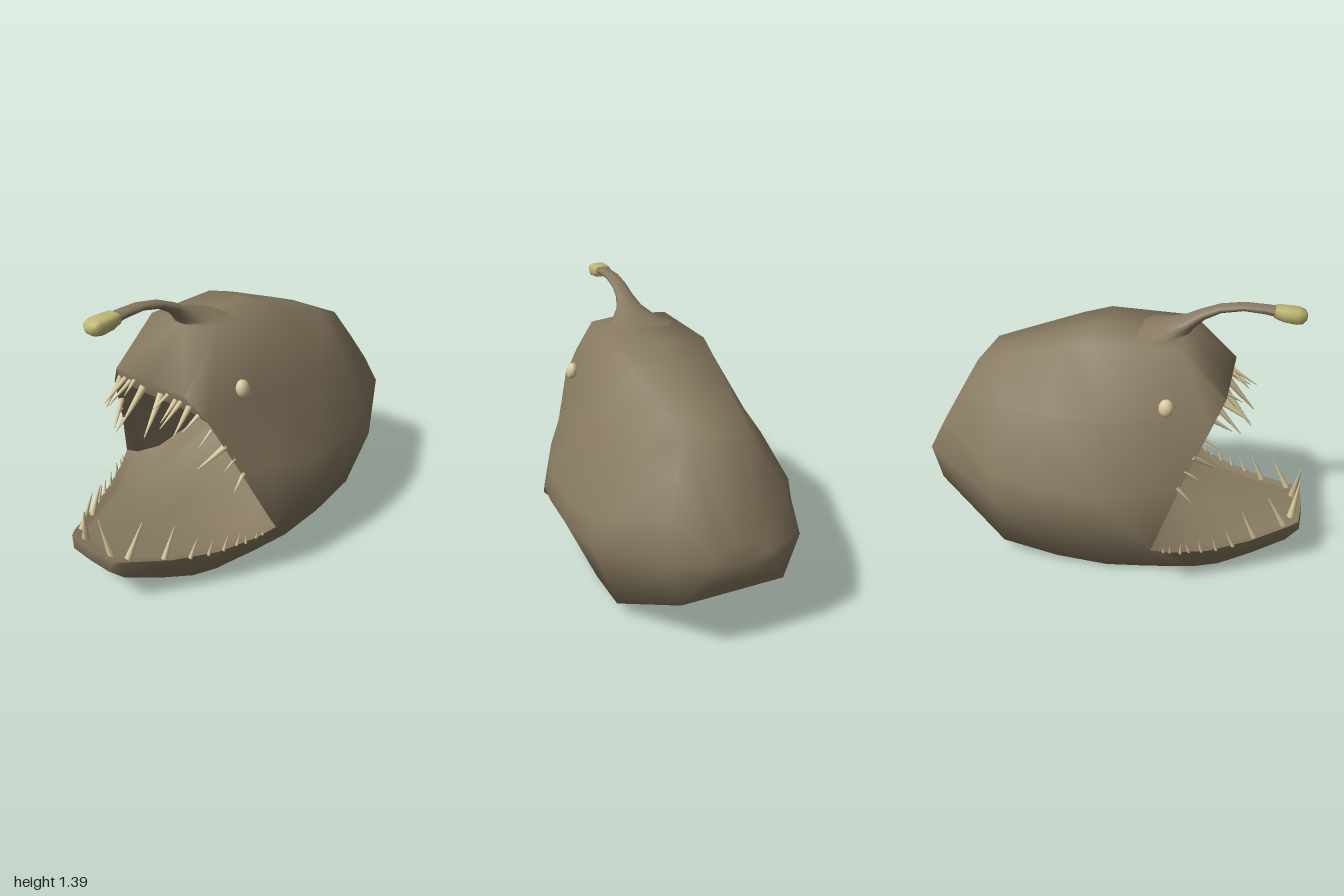
import * as THREE from 'three';
import { toCreasedNormals } from 'three/addons/utils/BufferGeometryUtils.js';

const mat = (name, color, side = THREE.FrontSide) => {
  const m = new THREE.MeshStandardMaterial({ color, side });
  m.name = name;
  return m;
};

// Skins rows of [x, y, z] points for the +x half and mirrors them across x = 0
function skinHalf(out, rows) {
  const tri = (a, b, c) => {
    const [A, B, C] = [a, b, c].map((p) => new THREE.Vector3(...p));
    if (B.clone().sub(A).cross(C.clone().sub(A)).length() < 1e-7) return;
    out.push(...a, ...b, ...c);
    const m = (p) => [-p[0], p[1], p[2]];
    out.push(...m(a), ...m(c), ...m(b));
  };
  for (let i = 0; i + 1 < rows.length; i++) {
    for (let j = 0; j + 1 < rows[i].length; j++) {
      const a = rows[i][j], b = rows[i][j + 1], c = rows[i + 1][j + 1], d = rows[i + 1][j];
      tri(a, d, c);
      tri(a, c, b);
    }
  }
}

function toGeometry(positions, crease) {
  const g = new THREE.BufferGeometry();
  g.setAttribute('position', new THREE.Float32BufferAttribute(positions, 3));
  return toCreasedNormals(g, crease);
}

// Half sections [y, z, half width, half thickness, tilt]; a power below 1 squares the oval off
const halfOvals = (sections, power) => sections.map(([y, z, w, t, tilt]) => Array.from({ length: 9 }, (_, k) => {
  const a = (k / 8) * Math.PI, c = Math.cos(a);
  const s = Math.sign(c) * Math.abs(c) ** power * t;
  const x = k % 8 ? Math.sin(a) ** power * w : 0;
  return [x, y + s * Math.cos(tilt), z - s * Math.sin(tilt)];
}));

export function createModel() {
  const root = new THREE.Group();
  root.name = 'deepSeaFish';
  const skin = mat('skin brown', 0x877960, THREE.DoubleSide);
  const ivory = mat('tooth ivory', 0xd6c89c);
  const glow = mat('lure yellow', 0xbdb573);

  const add = (name, geometry, material, parent = root) => {
    const mesh = new THREE.Mesh(geometry, material);
    mesh.name = name;
    parent.add(mesh);
    return mesh;
  };

  // Body rings from tail to mouth; each runs from the top centre to the bottom centre
  const tailEnd = Array(7).fill([0, 0.5, -1]);
  const tailInner = [[0, .6, -.975], [.1, .59, -.975], [.13, .56, -.98], [.15, .53, -.99], [.16, .48, -1], [.14, .42, -.99], [0, .42, -.99]];
  const tailRim = [[0, 1.02, -.72], [.15, 1.02, -.72], [.22, .87, -.8], [.28, .72, -.88], [.32, .56, -.96], [.26, .325, -.95], [0, .325, -.95]];
  const rear = [[0, 1.08, -.55], [.17, 1.08, -.55], [.33, .88, -.55], [.51, .58, -.55], [.54, .45, -.55], [.42, .08, -.55], [0, .08, -.55]];
  const waist = [[0, 1.185, -.25], [.215, 1.18, -.25], [.385, .88, -.28], [.565, .56, -.3], [.585, .43, -.28], [.425, .035, -.25], [0, .03, -.25]];
  const middle = [[0, 1.235, -.12], [.235, 1.22, -.1], [.395, .88, 0], [.57, .56, 0], [.585, .4, 0], [.415, .018, .02], [0, .005, .02]];
  const brow = [[0, 1.245, .34], [.21, 1.225, .34], [.355, .92, .3], [.5, .6, .24], [.565, .37, .2], [.375, .018, .25], [0, .005, .25]];
  const mouth = [[0, 1, .57], [.23, 1, .57], [.32, .88, .515], [.42, .6, .4], [.55, .28, .28], [.35, .018, .36], [0, .005, .36]];
  // Lower jaw rings: lip, bottom edge, bottom centre
  const jaw = [
    mouth.slice(4),
    [[.5, .24, .37], [.325, .016, .47], [0, .006, .47]],
    [[.41, .212, .55], [.285, .03, .6], [0, .022, .6]],
    [[.3, .225, .75], [.22, .08, .76], [0, .075, .76]],
    [[.185, .268, .945], [.16, .155, .93], [0, .155, .93]],
    [[.15, .275, .985], [.13, .215, .995], [0, .215, 1]],
    [[0, .275, .995], [0, .215, 1], [0, .215, 1]],
  ];
  // The lip edge rolls over into an inner lip
  const lip = [...mouth.slice(0, 5), ...jaw.slice(1).map((r) => r[0])];
  const innerLip = [[0, .915, .545], [.24, .915, .54], [.295, .84, .47], [.385, .6, .36], [.49, .28, .25],
    [.46, .23, .35], [.37, .2, .52], [.265, .212, .73], [.155, .257, .92], [.12, .265, .95], [0, .265, .95]];
  const bodyPos = [];
  skinHalf(bodyPos, [tailEnd, tailInner, tailRim, rear, waist, middle, brow, mouth]);
  skinHalf(bodyPos, jaw);
  skinHalf(bodyPos, [lip, innerLip]);
  add('body', toGeometry(bodyPos, 1.3), skin);

  // Mouth cavity from the inner lip past the palate and floor to the throat
  const palate = [[0, .79, .2], [.22, .79, .2], [.27, .72, .16], [.34, .56, .12], [.42, .3, .15],
    [.38, .25, .25], [.33, .21, .36], [.25, .2, .4], [.15, .2, .4], [.08, .2, .4], [0, .2, .4]];
  const throat = [[0, .64, -.2], [.2, .64, -.2], [.24, .59, -.2], [.27, .53, -.2], [.29, .46, -.18],
    [.28, .44, -.15], [.26, .43, -.12], [.2, .42, -.12], [.14, .41, -.12], [.08, .4, -.12], [0, .4, -.12]];
  const mouthPos = [];
  skinHalf(mouthPos, [innerLip, palate, throat, Array(11).fill([0, .54, -.25])]);
  add('mouthInterior', toGeometry(mouthPos, 0.9), skin);

  // Lure: a stalk flaring into the forehead, with a glowing blunt tip
  const stalk = [[1.215, .22, .22, .15, 1.5], [1.243, .275, .12, .075, 1.2], [1.28, .342, .07, .038, .85], [1.323, .405, .047, .026, .6],
    [1.362, .49, .04, .02, .35], [1.382, .6, .038, .018, .05], [1.378, .7, .038, .021, -.1], [1.372, .76, .04, .025, -.1]];
  const stalkPos = [];
  skinHalf(stalkPos, halfOvals(stalk, 1));
  add('lureStalk', toGeometry(stalkPos, 1.4), skin);
  const tip = [[1.374, .745, 0, 0, 0], [1.374, .745, .044, .026, -.1], [1.366, .79, .05, .034, -.1], [1.361, .85, .051, .037, -.1],
    [1.358, .88, .043, .029, -.1], [1.357, .894, .02, .014, -.1], [1.357, .896, 0, 0, 0]];
  const tipPos = [];
  skinHalf(tipPos, halfOvals(tip, .6));
  add('lureTip', toGeometry(tipPos, .9), glow);

  // Eyes
  for (const s of [1, -1]) {
    const eye = add(s > 0 ? 'leftEye' : 'rightEye', new THREE.SphereGeometry(.04, 14, 10), ivory);
    eye.scale.set(.75, 1.1, .92);
    eye.position.set(s * .345, .98, .3);
    eye.rotation.z = s * .25;
  }

  // Teeth: root, tip, radius
  const up = new THREE.Vector3(0, 1, 0);
  const upper = [
    [[.06, .95, .55], [.082, .785, .69], .02], [[.115, .97, .56], [.1, .92, .64], .01],
    [[.155, .95, .55], [.165, .88, .66], .013], [[.19, .955, .55], [.19, .87, .69], .013],
    [[.235, .945, .54], [.23, .82, .65], .016], [[.27, .9, .52], [.25, .84, .61], .013],
    [[.312, .82, .48], [.312, .765, .57], .009], [[.365, .74, .44], [.295, .64, .56], .017],
    [[.395, .67, .41], [.388, .625, .48], .008], [[.425, .59, .38], [.425, .515, .45], .012],
  ];
  const lower = [
    [[.095, .26, .945], [.052, .455, .97], .02], [[.17, .26, .91], [.182, .425, .82], .017],
    [[.265, .225, .77], [.27, .375, .7], .015], [[.34, .21, .67], [.35, .305, .63], .011],
    [[.385, .205, .59], [.395, .285, .57], .009], [[.42, .21, .52], [.43, .29, .5], .009],
    [[.45, .22, .46], [.455, .28, .44], .007], [[.475, .225, .42], [.48, .29, .42], .008],
    [[.5, .24, .37], [.505, .28, .37], .007], [[.515, .25, .34], [.52, .285, .34], .007],
  ];
  for (const [name, list] of [['upperTeeth', upper], ['lowerTeeth', lower]]) {
    const group = new THREE.Group();
    group.name = name;
    root.add(group);
    for (const [from, to, r] of list) {
      for (const s of [1, -1]) {
        const a = new THREE.Vector3(from[0] * s, from[1], from[2]);
        const b = new THREE.Vector3(to[0] * s, to[1], to[2]);
        const dir = b.clone().sub(a);
        const tooth = add('tooth', new THREE.CylinderGeometry(r * .15, r, dir.length(), 8), ivory, group);
        tooth.position.copy(a).add(b).multiplyScalar(.5);
        tooth.quaternion.setFromUnitVectors(up, dir.normalize());
      }
    }
  }
  return root;
}
